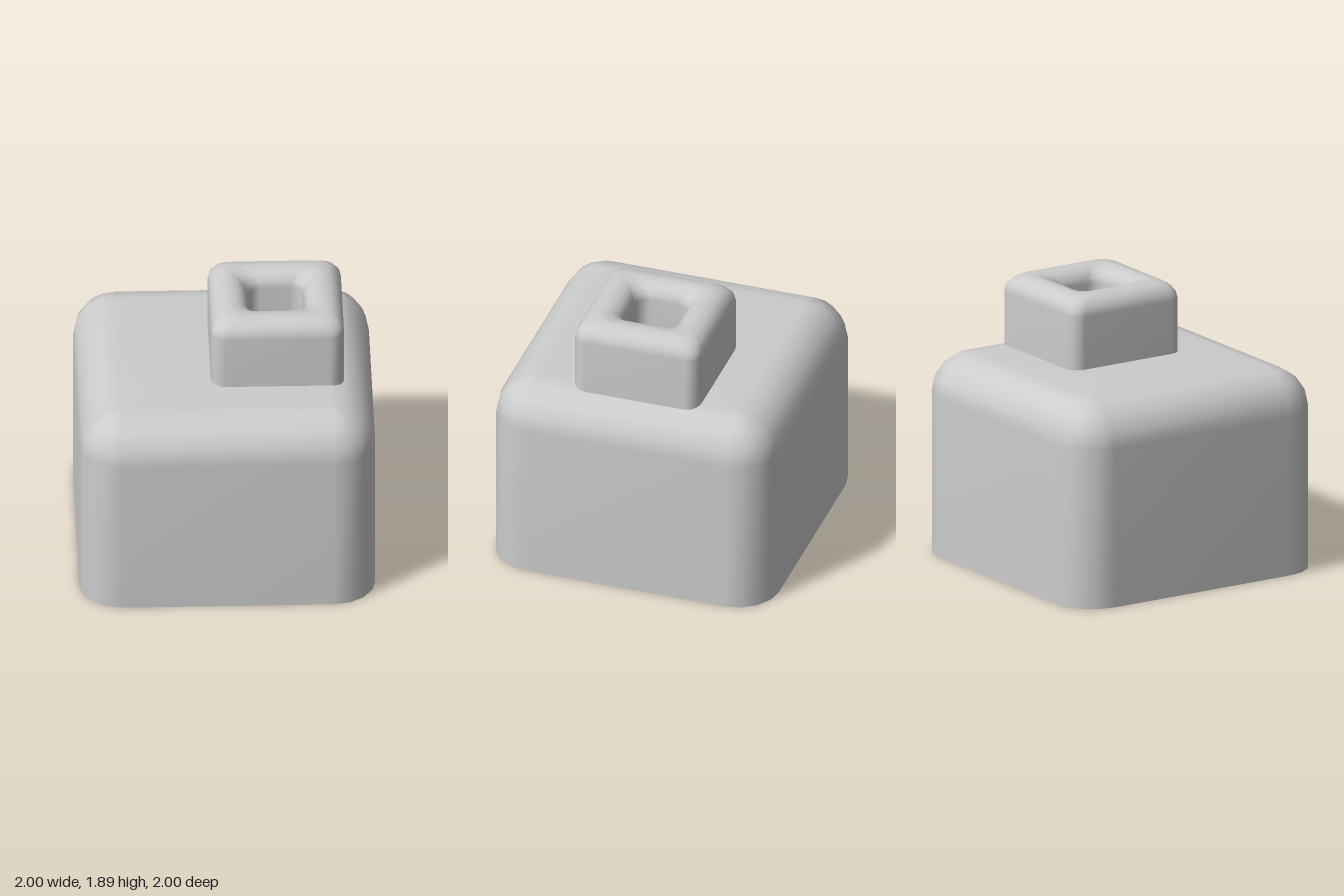
import * as THREE from 'three';

const STEPS = 4; // segments in every rounded corner

// Rounded-square ring: half width h, corner radius r, height y
function ring(h, r, y) {
  const points = [];
  for (let corner = 0; corner < 4; corner++) {
    const middle = (corner + 0.5) * Math.PI / 2;
    const cx = Math.sign(Math.cos(middle)) * (h - r);
    const cz = Math.sign(Math.sin(middle)) * (h - r);
    for (let i = 0; i <= STEPS; i++) {
      const a = (corner + i / STEPS) * Math.PI / 2;
      points.push([cx + r * Math.cos(a), y, cz + r * Math.sin(a)]);
    }
  }
  return points;
}

// Smooth skin through the rings, optionally closed by a flat cap at the last one
function loft(rings, capped) {
  const n = rings[0].length;
  const positions = rings.flat(2);
  const index = [];
  for (let k = 0; k < rings.length - 1; k++) {
    for (let i = 0; i < n; i++) {
      const a = k * n + i;
      const b = k * n + (i + 1) % n;
      index.push(a, a + n, b, b, a + n, b + n);
    }
  }
  if (capped) {
    const start = (rings.length - 1) * n;
    const centre = rings.length * n;
    positions.push(0, rings[rings.length - 1][0][1], 0);
    for (let i = 0; i < n; i++) index.push(start + i, centre, start + (i + 1) % n);
  }
  const geometry = new THREE.BufferGeometry();
  geometry.setAttribute('position', new THREE.Float32BufferAttribute(positions, 3));
  geometry.setIndex(index);
  geometry.computeVertexNormals();
  return geometry;
}

export function createModel() {
  const model = new THREE.Group();
  const grey = new THREE.MeshStandardMaterial({ color: 0xcccccc, side: THREE.DoubleSide });
  grey.name = 'light grey';

  // Hollow body with rounded top and open underside
  const R = 0.29;
  const bodyRings = [ring(1, R, 0)];
  for (let i = 0; i <= STEPS; i++) {
    const a = i / STEPS * Math.PI / 2;
    const inset = R * (1 - Math.cos(a));
    bodyRings.push(ring(1 - inset, Math.max(R - inset, 0.002), 1.4 - R + R * Math.sin(a)));
  }
  const body = new THREE.Mesh(loft(bodyRings, true), grey);
  body.name = 'body';
  model.add(body);

  // Square collar: outer wall, rounded rim, inner wall
  const top = 1.89, outer = 0.12, inner = 0.11;
  const collarRings = [ring(0.45, 0.1, 1.37)];
  for (let i = 0; i <= STEPS; i++) {
    const a = i / STEPS * Math.PI / 2;
    collarRings.push(ring(0.45 - outer * (1 - Math.cos(a)), 0.1, top - outer * (1 - Math.sin(a))));
  }
  for (let i = 0; i <= STEPS; i++) {
    const a = i / STEPS * Math.PI / 2;
    collarRings.push(ring(0.19 + inner * (1 - Math.sin(a)), 0.09, top - inner * (1 - Math.cos(a))));
  }
  collarRings.push(ring(0.19, 0.09, 1.39));
  const collar = new THREE.Mesh(loft(collarRings, false), grey);
  collar.name = 'collar';
  collar.position.x = 0.35;
  model.add(collar);

  return model;
}
